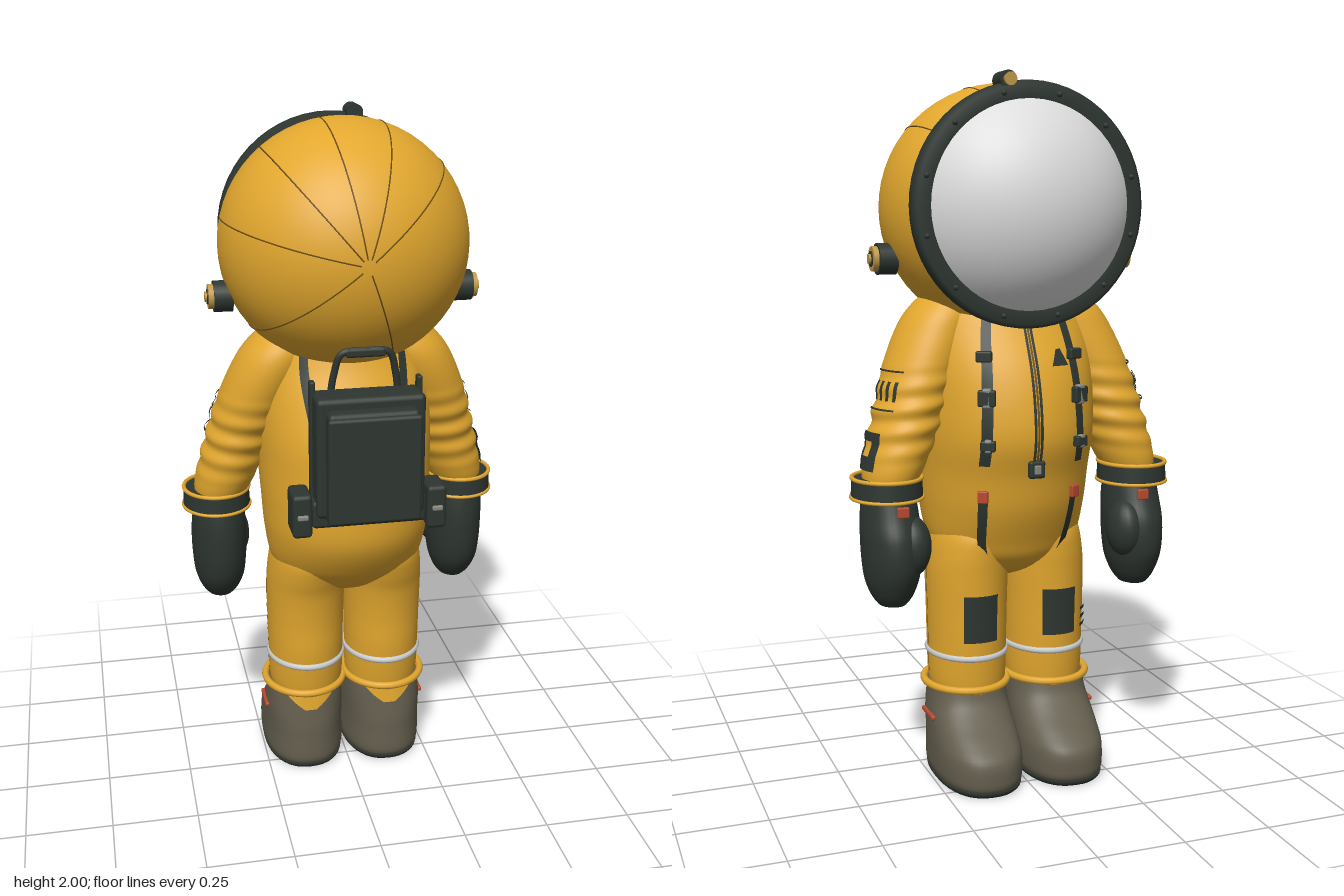
import * as THREE from 'three';
import { RoundedBoxGeometry } from 'three/addons/geometries/RoundedBoxGeometry.js';

const mat = (name, color) => Object.assign(new THREE.MeshStandardMaterial({ color, side: THREE.DoubleSide }), { name });
const M = {
  suit: mat('suit yellow', 0xe2a72e),
  dark: mat('dark rubber', 0x2e3630),
  boot: mat('boot taupe', 0x645e4e),
  visor: mat('visor white', 0xdcdcdc),
  red: mat('tab red', 0xb8492f),
  metal: mat('metal grey', 0x85867f),
  band: mat('reflective band', 0xc9cacb),
  seam: mat('seam brown', 0x6e4f18),
  gold: mat('bolt gold', 0xc0994a),
};

// Cross-section rows, bottom to top: [y, cx, cz, rx, rz]
const TORSO = [[.58, 0, -.05, .04, .04], [.605, 0, -.05, .12, .1], [.65, 0, -.045, .19, .158], [.7, 0, -.032, .224, .196],
  [.8, 0, -.024, .243, .247], [.9, 0, -.03, .25, .265], [1, 0, -.047, .255, .277], [1.1, 0, -.05, .256, .268],
  [1.2, 0, -.055, .252, .235], [1.3, 0, -.055, .238, .185], [1.38, 0, -.05, .205, .148], [1.42, 0, -.05, .16, .115]];
const LEG = [[.23, .12, -.06, .1, .115], [.28, .12, -.058, .112, .125], [.4, .12, -.055, .115, .136], [.5, .12, -.055, .117, .139],
  [.6, .119, -.051, .119, .148], [.66, .117, -.043, .117, .16], [.72, .11, -.035, .113, .165], [.8, .1, -.025, .09, .13]];
const ARM = [[.87, .37, -.12, .07, .085], [.92, .355, -.115, .085, .1], [1, .328, -.105, .094, .109], [1.1, .295, -.09, .1, .116],
  [1.2, .259, -.07, .106, .122], [1.3, .214, -.052, .108, .121], [1.36, .185, -.047, .097, .108], [1.41, .16, -.045, .06, .07], [1.425, .155, -.045, .01, .01]];
const GLOVE = [[.533, .37, -.15, .008, .01], [.545, .37, -.15, .04, .052], [.6, .37, -.145, .07, .098], [.66, .37, -.145, .08, .12],
  [.74, .37, -.14, .083, .122], [.8, .37, -.128, .08, .108], [.87, .37, -.12, .072, .09]];
const BOOT = [[.016, .125, -.132, .118, .198], [.035, .125, -.132, .124, .204], [.1, .125, -.13, .124, .2], [.14, .125, -.11, .122, .178],
  [.18, .125, -.085, .12, .148], [.22, .124, -.067, .116, .125], [.27, .123, -.06, .11, .113]];
const SOLE = [[0, .125, -.132, .112, .192], [.008, .125, -.132, .12, .2], [.018, .125, -.132, .122, .202]];

// Smooth interpolation of the rows at height y
function rowAt(rows, y) {
  let i = 0;
  while (i < rows.length - 2 && y > rows[i + 1][0]) i++;
  const slope = (k, c) => {
    const a = rows[Math.max(k - 1, 0)], b = rows[Math.min(k + 1, rows.length - 1)];
    return (b[c] - a[c]) / (b[0] - a[0]);
  };
  const h = rows[i + 1][0] - rows[i][0], t = (y - rows[i][0]) / h, t2 = t * t, t3 = t2 * t;
  return [0, 1, 2, 3, 4].map(c => c === 0 ? y : (2 * t3 - 3 * t2 + 1) * rows[i][c] + (t3 - 2 * t2 + t) * h * slope(i, c)
    + (3 * t2 - 2 * t3) * rows[i + 1][c] + (t3 - t2) * h * slope(i + 1, c));
}

// Point on a lofted body; sleeves get folds, boots a squarer outline
function surf(rows, y, a, s = 1, off = 0) {
  const [, cx, cz, rx, rz] = rowAt(rows, y), power = rows === BOOT || rows === SOLE ? .84 : 1;
  const round = v => Math.sign(v) * Math.abs(v) ** power;
  if (rows === ARM && y > .93 && y < 1.22) off += .005 * Math.sin((y - .93) / .29 * Math.PI) * Math.sin(y * 100 + a);
  return [s * (cx + (rx + off) * round(Math.cos(a))), y, cz + (rz + off) * round(Math.sin(a))];
}

function gridGeometry(pos, rows, cols, closed, s) {
  const idx = [], w = closed ? cols : cols + 1;
  const tri = (a, b, c) => s > 0 ? idx.push(a, b, c) : idx.push(a, c, b);
  for (let i = 0; i < rows; i++) for (let j = 0; j < cols; j++) {
    const p = i * w + j, q = i * w + (j + 1) % w;
    tri(p, p + w, q); tri(q, p + w, q + w);
  }
  if (closed) for (let j = 1; j < cols - 1; j++) {
    tri(0, j, j + 1);
    tri(rows * w, rows * w + j + 1, rows * w + j);
  }
  const g = new THREE.BufferGeometry();
  g.setAttribute('position', new THREE.Float32BufferAttribute(pos, 3));
  g.setIndex(idx); g.computeVertexNormals();
  return g;
}

function loft(rows, s = 1, n = 40, cols = 44) {
  const pos = [], y0 = rows[0][0], y1 = rows[rows.length - 1][0];
  for (let i = 0; i <= n; i++) for (let j = 0; j < cols; j++)
    pos.push(...surf(rows, y0 + (y1 - y0) * i / n, j / cols * Math.PI * 2, s));
  return gridGeometry(pos, n, cols, true, s);
}

// Thin patch following a lofted body, from angles a0..a1 at the top to b0..b1 at the bottom
function panel(rows, s, y0, y1, a0, a1, off = .006, b0 = a0, b1 = a1) {
  const pos = [], n = Math.max(2, Math.ceil((y1 - y0) / .015)), m = 8;
  for (let i = 0; i <= n; i++) for (let j = 0; j <= m; j++) {
    const t = i / n, l = b0 + (a0 - b0) * t, r = b1 + (a1 - b1) * t;
    pos.push(...surf(rows, y0 + (y1 - y0) * t, l + (r - l) * j / m, s, off));
  }
  return gridGeometry(pos, n, m, false, s);
}

export function createModel() {
  const root = new THREE.Group();
  root.name = 'astronaut';
  const add = (name, geo, m, x = 0, y = 0, z = 0) => {
    const mesh = new THREE.Mesh(geo, m);
    mesh.name = name; mesh.position.set(x, y, z); root.add(mesh);
    return mesh;
  };
  const box = (name, m, w, h, d, x, y, z, r = .008) => add(name, new RoundedBoxGeometry(w, h, d, 2, r), m, x, y, z);
  const hoop = (name, m, rx, rz, t, x, y, z) => {
    const g = new THREE.TorusGeometry(1, t / rx, 8, 40).rotateX(Math.PI / 2);
    add(name, g, m, x, y, z).scale.set(rx, rx, rz);
  };

  // Helmet shell, open at the face, with fine meridian seams
  const HY = 1.637, HZ = -.045;
  const shell = new THREE.SphereGeometry(1, 56, 40, 0, Math.PI * 2, 0, 2.17).rotateX(Math.PI / 2);
  add('helmetShell', shell, M.suit, 0, HY, HZ).scale.set(.355, .348, .345);
  for (const deg of [40, 72, 100, 130, 167, 220, 290]) {
    const a = deg * Math.PI / 180, pts = [];
    for (let i = 0; i <= 24; i++) {
      const t = .06 + 2.06 * i / 24;
      pts.push(new THREE.Vector3(.355 * Math.sin(t) * Math.cos(a), HY + .348 * Math.sin(t) * Math.sin(a), HZ + .345 * Math.cos(t)));
    }
    add('helmetSeam', new THREE.TubeGeometry(new THREE.CatmullRomCurve3(pts), 40, .002, 5), M.seam);
  }

  // Visor dome, rim and rivets
  const VY = 1.645;
  add('visor', new THREE.SphereGeometry(.367, 48, 20, 0, Math.PI * 2, 0, .89).rotateX(-Math.PI / 2), M.visor, 0, VY, -.033);
  const rim = [[.278, -.02], [.278, .022], [.284, .027], [.32, .026], [.332, .016], [.332, -.016], [.32, -.025], [.278, -.02]];
  add('visorRim', new THREE.LatheGeometry(rim.map(p => new THREE.Vector2(...p)), 56).rotateX(-Math.PI / 2), M.dark, 0, VY, -.24);
  for (let i = 0; i < 12; i++) {
    const a = (i + .5) / 12 * Math.PI * 2;
    add('rimRivet', new THREE.SphereGeometry(.008, 8, 6), M.dark, .305 * Math.cos(a), VY + .305 * Math.sin(a), -.267);
  }

  // Lamp on top of the rim
  box('lampMount', M.dark, .04, .03, .05, .065, 1.96, -.232);
  add('lampBody', new THREE.CylinderGeometry(.024, .024, .065, 20).rotateX(Math.PI / 2), M.dark, .065, 1.976, -.232);
  add('lampBulb', new THREE.CylinderGeometry(.015, .018, .018, 16).rotateX(Math.PI / 2), M.gold, .065, 1.976, -.272);

  // Torso, collar, zip and chest patch
  add('torso', loft(TORSO, 1, 60, 64), M.suit);
  hoop('collar', M.suit, .19, .145, .016, 0, 1.375, -.05);
  const F = -Math.PI / 2;
  for (const s of [-1, 1]) add('zipTape', panel(TORSO, s, .95, 1.34, F + .02, F + .05), M.dark);
  add('zipTeeth', panel(TORSO, 1, .95, 1.34, F - .012, F + .012), M.seam);
  box('zipBuckle', M.dark, .048, .05, .02, 0, .93, -.312);
  box('zipPull', M.metal, .02, .026, .01, 0, .93, -.322, .004);
  add('chestPatch', panel(TORSO, -1, 1.21, 1.255, F + .3, F + .36, .006, F + .22, F + .44), M.dark);

  for (const s of [-1, 1]) {
    // Harness straps with clips
    add('chestStrap', panel(TORSO, s, .94, 1.385, -1.15, -1.03, .009, -1.07, -.95), M.dark);
    add('lowerStrap', panel(TORSO, s, .67, .86, -1.07, -.96, .009), M.dark);
    add('shoulderStrap', panel(TORSO, s, 1.1, 1.4, .82, .94, .011, 1.08, 1.2), M.dark);
    for (const [y, m, w, h] of [[1.24, M.dark, .045, .03], [1.13, M.dark, .05, .045], [1.13, M.metal, .024, .054], [1, M.dark, .042, .03], [1, M.metal, .02, .036]]) {
      const [x, , z] = surf(TORSO, y, -1.04, s, .014);
      box('strapClip', m, w, h, .022, x, y, z, .005).rotation.y = s * -.45;
    }
    const [tx, , tz] = surf(TORSO, .85, -1.015, s, .012);
    box('strapTab', M.red, .03, .035, .014, tx, .85, tz, .004).rotation.y = s * -.5;

    // Earpieces
    const ear = (name, r, x0, x1, m) => add(name, new THREE.CylinderGeometry(r, r, x1 - x0, 24).rotateZ(Math.PI / 2), m, s * (x0 + x1) / 2, 1.5, -.04);
    ear('earpiece', .044, .32, .373, M.dark);
    ear('earRing', .035, .36, .388, M.gold);
    ear('earCap', .022, .38, .391, M.dark);
    ear('earBolt', .014, .385, .397, M.gold);

    // Sleeve with markings
    add('sleeve', loft(ARM, s, 70, 44), M.suit);
    for (const y of [1.09, 1.193]) add('sleeveLine', panel(ARM, s, y, y + .005, -.85, .1), M.dark);
    for (let i = 0; i < 4; i++) add('sleeveMark', panel(ARM, s, 1.115, 1.168, -.8 + i * .23, -.7 + i * .23), M.dark);
    if (s > 0) {
      add('sleeveBadge', panel(ARM, s, .925, 1.03, -.62, .2), M.dark);
      add('badgeCentre', panel(ARM, s, .965, 1.005, -.36, -.08, .009), M.suit);
    }

    // Cuff and mitten
    add('cuff', new THREE.CylinderGeometry(.098, .1, .05, 40), M.dark, s * .375, .873, -.125).scale.z = 1.12;
    hoop('cuffTopRim', M.suit, .097, .108, .006, s * .375, .9, -.125);
    hoop('cuffLowerRim', M.suit, .1, .112, .005, s * .375, .845, -.125);
    add('mitten', loft(GLOVE, s, 30, 36), M.dark);
    add('thumb', new THREE.SphereGeometry(1, 20, 16), M.dark, s * .323, .715, -.195).scale.set(.052, .085, .068);
    box('gloveTab', M.red, .034, .03, .014, s * .36, .82, -.238, .004);

    // Trouser leg with side seam, knee patch, band and hem
    add('leg', loft(LEG, s, 40, 44), M.suit);
    add('legSeam', panel(LEG, s, .3, .64, -.012, .012, .002), M.seam);
    add('kneePatch', panel(LEG, s, .412, .55, F - .42, F + .42), M.dark);
    hoop('legBand', M.band, .111, .132, .01, s * .12, .362, -.055);
    hoop('hem', M.suit, .121, .134, .011, s * .125, .27, -.06);
    if (s < 0) for (let i = 0; i < 3; i++) add('legMark', panel(LEG, s, .42 + i * .025, .43 + i * .025, -.9, -.45 - i * .06), M.dark);

    // Boot with a pointed trouser flap at the heel
    add('boot', loft(BOOT, s, 30, 44), M.boot);
    add('heelFlap', panel(BOOT, s, .205, .265, -F - .7, -F + .7, .004, -F - .1, -F + .1), M.suit);
    add('sole', loft(SOLE, s, 4, 44), M.dark);
    box('bootTab', M.red, .014, .014, .1, s * .246, .18, -.085, .005);

    // Side canister of the pack
    box('packCanister', M.dark, .055, .125, .1, s * .188, .967, .286, .012);
    box('canisterStud', M.metal, .03, .014, .012, s * .188, .967, .338, .004);
    box('packRail', M.dark, .016, .36, .03, s * .148, 1.15, .26, .006);
  }

  // Backpack and its handle
  box('packBody', M.dark, .3, .34, .105, 0, 1.13, .292, .015);
  box('packBase', M.dark, .32, .08, .09, 0, .965, .28, .012);
  box('packPanel', M.dark, .25, .32, .07, 0, 1.11, .35, .015);
  box('packLid', M.dark, .256, .3, .02, 0, 1.11, .388, .01);
  const handle = [[-.095, 1.27, .24], [-.085, 1.34, .247], [-.065, 1.398, .255], [0, 1.405, .256], [.065, 1.398, .255], [.085, 1.34, .247], [.095, 1.27, .24]];
  add('packHandle', new THREE.TubeGeometry(new THREE.CatmullRomCurve3(handle.map(p => new THREE.Vector3(...p))), 40, .01, 8), M.dark);
  box('handleGrip', M.dark, .11, .026, .022, 0, 1.4, .256, .008);
  return root;
}
